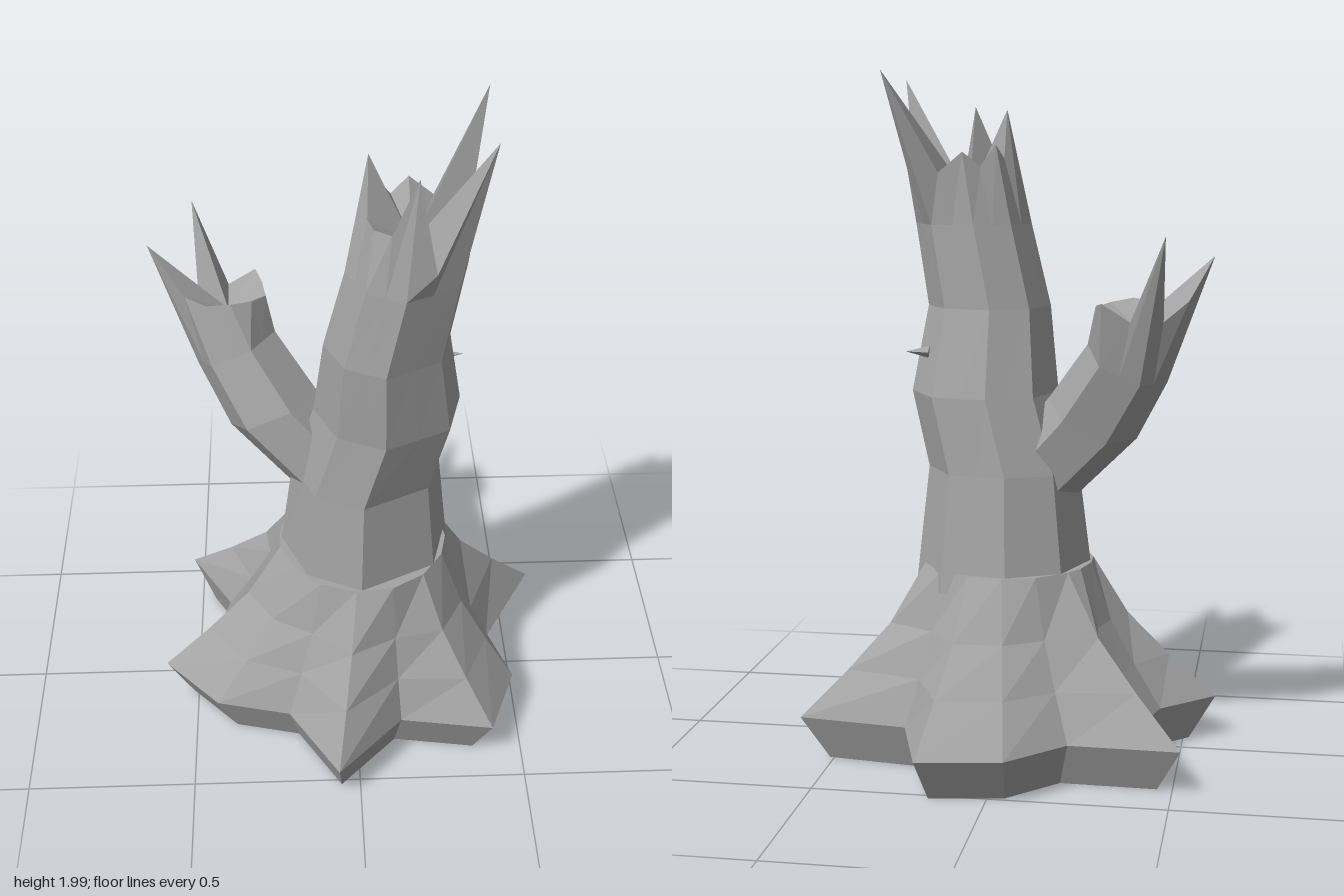
import * as THREE from 'three';

const V = (x, y, z) => new THREE.Vector3(x, y, z);

// Skin a stack of equal-length rings (anticlockwise seen from the tip); cap centres are optional
function loft(name, rings, material, bottom, top) {
  const pos = [];
  const tri = (...pts) => pts.forEach((p) => pos.push(p.x, p.y, p.z));
  const n = rings[0].length;
  for (let i = 0; i < n; i++) {
    const j = (i + 1) % n;
    for (let k = 0; k < rings.length - 1; k++) {
      const a = rings[k], b = rings[k + 1];
      tri(a[i], a[j], b[j]);
      tri(a[i], b[j], b[i]);
    }
    const last = rings[rings.length - 1];
    if (bottom) tri(rings[0][j], rings[0][i], bottom);
    if (top) tri(last[i], last[j], top);
  }
  const geo = new THREE.BufferGeometry();
  geo.setAttribute('position', new THREE.Float32BufferAttribute(pos, 3));
  geo.computeVertexNormals();
  const mesh = new THREE.Mesh(geo, material);
  mesh.name = name;
  return mesh;
}

// Insert the midpoint of every side, doubling the ring
const withMidpoints = (ring) => ring.flatMap((p, i) =>
  [p, p.clone().lerp(ring[(i + 1) % ring.length], 0.5)]);

export function createModel() {
  const group = new THREE.Group();
  group.name = 'brokenTree';
  const wood = new THREE.MeshStandardMaterial({ color: 0xa3a3a3, flatShading: true, side: THREE.DoubleSide });
  wood.name = 'grey wood';

  // Flared roots: a star outline that rounds off as it rises
  const star = [
    [-0.065, 0.595], [0.13, 0.385], [0.405, 0.43], [0.49, 0.2], [0.425, 0.02],
    [0.59, -0.285], [0.27, -0.325], [0.185, -0.6], [-0.055, -0.56], [-0.21, -0.4],
    [-0.525, -0.405], [-0.4, -0.18], [-0.44, -0.04], [-0.595, 0.105], [-0.43, 0.29], [-0.21, 0.345],
  ];
  const rootRing = ([y, scale, round]) => star.map(([x, z]) => {
    const a = Math.atan2(z, x);
    return V(x * scale, y, z * scale).lerp(V(0.025 + 0.255 * Math.cos(a), y, 0.015 + 0.27 * Math.sin(a)), round);
  });
  const rootLevels = [[0, 0.87, 0], [0.13, 1, 0], [0.26, 1, 0.38], [0.39, 1, 0.72], [0.56, 1, 1]];
  group.add(loft('roots', rootLevels.map(rootRing), wood, V(0, 0, 0), V(0.03, 0.56, 0.015)));

  // Trunk: irregular octagon carried up a bent stem to a splintered rim
  const octagon = [[-0.07, 1], [0.8, 0.57], [1, -0.22], [0.6, -0.87], [-0.15, -1], [-0.75, -0.7], [-1, 0], [-0.7, 0.7]];
  const stem = [ // y, centre x, centre z, half width, half depth
    [0.5, 0.03, 0.015, 0.26, 0.27],
    [0.84, 0.035, 0.025, 0.22, 0.225],
    [1.06, 0.095, 0.05, 0.215, 0.215],
    [1.31, 0.09, 0.095, 0.18, 0.185],
    [1.55, 0.14, 0.11, 0.17, 0.17],
  ];
  const trunkRings = stem.map(([y, cx, cz, rx, rz]) =>
    withMidpoints(octagon.map(([x, z]) => V(cx + x * rx, y, cz + z * rz))));
  trunkRings.push([
    V(0.16, 1.89, 0.235), V(0.21, 1.62, 0.26), V(0.365, 1.97, 0.2), V(0.33, 1.74, 0.13),
    V(0.335, 1.72, 0.06), V(0.32, 1.71, 0), V(0.37, 1.99, -0.115), V(0.22, 1.7, -0.045),
    V(0.15, 1.76, -0.04), V(0.1, 1.72, -0.015), V(0.06, 1.78, 0.01), V(0.04, 1.74, 0.04),
    V(0.035, 1.88, 0.065), V(0.03, 1.72, 0.13), V(0.045, 1.72, 0.19), V(0.09, 1.73, 0.24),
  ]);
  group.add(loft('trunk', trunkRings, wood, null, V(0.155, 1.63, 0.095)));

  // Broken side branch: six-sided, leaning left and back
  const d = V(-0.39, 0.87, -0.26).normalize();
  const u = V(0, 1, 0).cross(d).normalize();
  const v = d.clone().cross(u);
  const branchRings = [[-0.07, 0.82, 0, 0.13], [-0.235, 1.0, -0.05, 0.14], [-0.34, 1.17, -0.12, 0.125]]
    .map(([x, y, z, r]) => withMidpoints(Array.from({ length: 6 }, (_, i) => {
      const a = i * Math.PI / 3;
      return V(x, y, z).addScaledVector(u, r * Math.cos(a)).addScaledVector(v, r * Math.sin(a));
    })));
  branchRings.push([
    V(-0.48, 1.36, -0.09), V(-0.42, 1.34, -0.07), V(-0.35, 1.35, -0.06), V(-0.29, 1.34, -0.09),
    V(-0.25, 1.33, -0.14), V(-0.26, 1.34, -0.2), V(-0.28, 1.35, -0.26), V(-0.36, 1.3, -0.26),
    V(-0.46, 1.54, -0.335), V(-0.45, 1.3, -0.24), V(-0.52, 1.36, -0.25), V(-0.585, 1.48, -0.18),
  ]);
  group.add(loft('branch', branchRings, wood, V(-0.07, 0.82, 0), V(-0.36, 1.28, -0.155)));

  // Tiny twig stub on the side of the trunk
  const twig = new THREE.Mesh(new THREE.ConeGeometry(0.018, 0.07, 4), wood);
  twig.name = 'twigStub';
  twig.position.set(0.285, 1.18, -0.04);
  twig.rotation.z = -Math.PI / 2;
  group.add(twig);

  return group;
}
